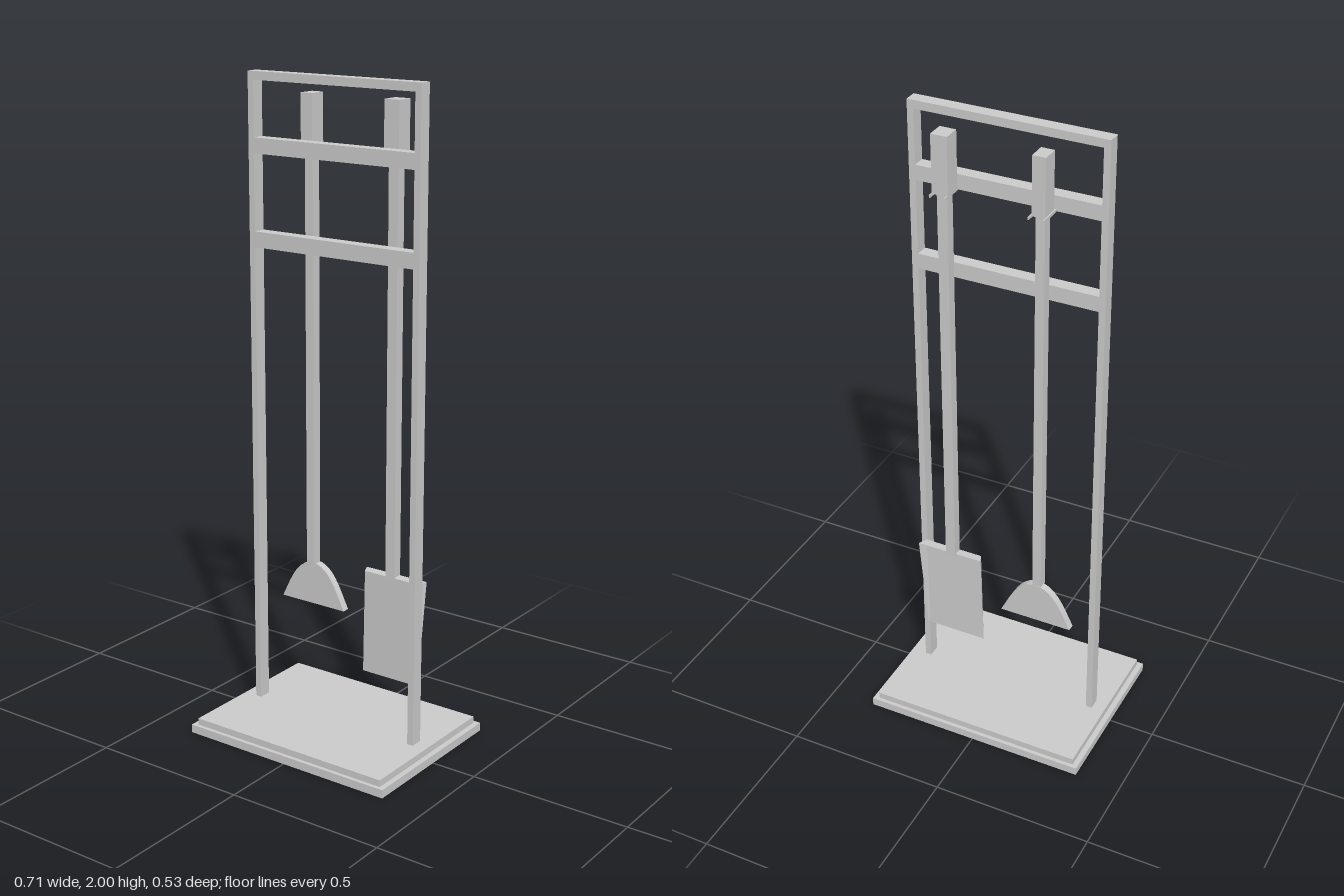
import * as THREE from 'three';

export function createModel() {
  const model = new THREE.Group();
  const mat = new THREE.MeshStandardMaterial({ color: 0xcccccc, flatShading: true });
  const sheetMat = new THREE.MeshStandardMaterial({ color: 0xcccccc, flatShading: true, side: THREE.DoubleSide });

  // Box given by its lower and upper limits on each axis
  function box(name, parent, [x0, x1], [y0, y1], [z0, z1]) {
    const mesh = new THREE.Mesh(new THREE.BoxGeometry(x1 - x0, y1 - y0, z1 - z0), mat);
    mesh.position.set((x0 + x1) / 2, (y0 + y1) / 2, (z0 + z1) / 2);
    mesh.name = name;
    parent.add(mesh);
    return mesh;
  }

  function group(name) {
    const g = new THREE.Group();
    g.name = name;
    model.add(g);
    return g;
  }

  // Stepped base
  const base = group('base');
  box('baseLower', base, [-0.357, 0.357], [0, 0.026], [-0.267, 0.267]);
  box('baseUpper', base, [-0.34, 0.34], [0.026, 0.047], [-0.255, 0.255]);

  // Upright frame with three cross rails
  const frame = group('frame');
  const depth = [-0.02, 0.02];
  box('rightPost', frame, [-0.299, -0.279], [0.047, 2], depth);
  box('leftPost', frame, [0.277, 0.297], [0.047, 2], depth);
  for (const [name, y] of [['topRail', [1.975, 2]], ['hangingRail', [1.765, 1.811]], ['lowerRail', [1.49, 1.537]]]) {
    box(name, frame, [-0.279, 0.277], y, depth);
  }

  // Grip, shaft and the two hanging pegs shared by both tools
  function handle(tool, x, gripHalf, shaftHalf, shaftBottom) {
    box('grip', tool, [x - gripHalf, x + gripHalf], [1.768, 1.944], [-0.08, -0.026]);
    box('shaft', tool, [x - shaftHalf, x + shaftHalf], [shaftBottom, 1.768], [-0.068, -0.037]);
    for (const s of [-1, 1]) {
      const px = x + s * 0.0225;
      box('hangingPeg', tool, [px - 0.002, px + 0.002], [1.764, 1.772], [-0.097, -0.022]);
    }
  }

  // Broom with a flared, domed brush
  const broom = group('broom');
  handle(broom, -0.124, 0.02, 0.014, 0.51);
  const outline = new THREE.Shape();
  outline.moveTo(-0.116, 0.383);
  outline.bezierCurveTo(-0.085, 0.445, -0.06, 0.515, 0, 0.517);
  outline.bezierCurveTo(0.06, 0.515, 0.085, 0.445, 0.116, 0.383);
  outline.closePath();
  const brush = new THREE.Mesh(
    new THREE.ExtrudeGeometry(outline, { depth: 0.024, bevelEnabled: false, curveSegments: 10 }), mat);
  brush.position.set(-0.121, 0, -0.069);
  brush.name = 'brush';
  broom.add(brush);

  // Shovel: thin pan with walls that taper towards its lip
  const shovel = group('shovel');
  handle(shovel, 0.17, 0.025, 0.016, 0.53);
  const a = [0.08, 0.538, -0.037], b = [0.27, 0.538, -0.037];    // floor, top
  const c = [0.072, 0.21, -0.041], d = [0.265, 0.21, -0.041];    // floor, lip
  const e = [0.068, 0.54, -0.064], f = [0.282, 0.54, -0.066];    // wall rim, top
  const g = [0.069, 0.212, -0.046], h = [0.268, 0.212, -0.046];  // wall rim, lip
  const quads = [[a, c, d, b], [a, e, g, c], [b, d, h, f], [a, b, f, e]];
  const points = quads.flatMap(([p, q, r, s]) => [p, q, r, p, r, s]).flat();
  const panGeometry = new THREE.BufferGeometry();
  panGeometry.setAttribute('position', new THREE.Float32BufferAttribute(points, 3));
  panGeometry.computeVertexNormals();
  const pan = new THREE.Mesh(panGeometry, sheetMat);
  pan.name = 'pan';
  shovel.add(pan);

  return model;
}
